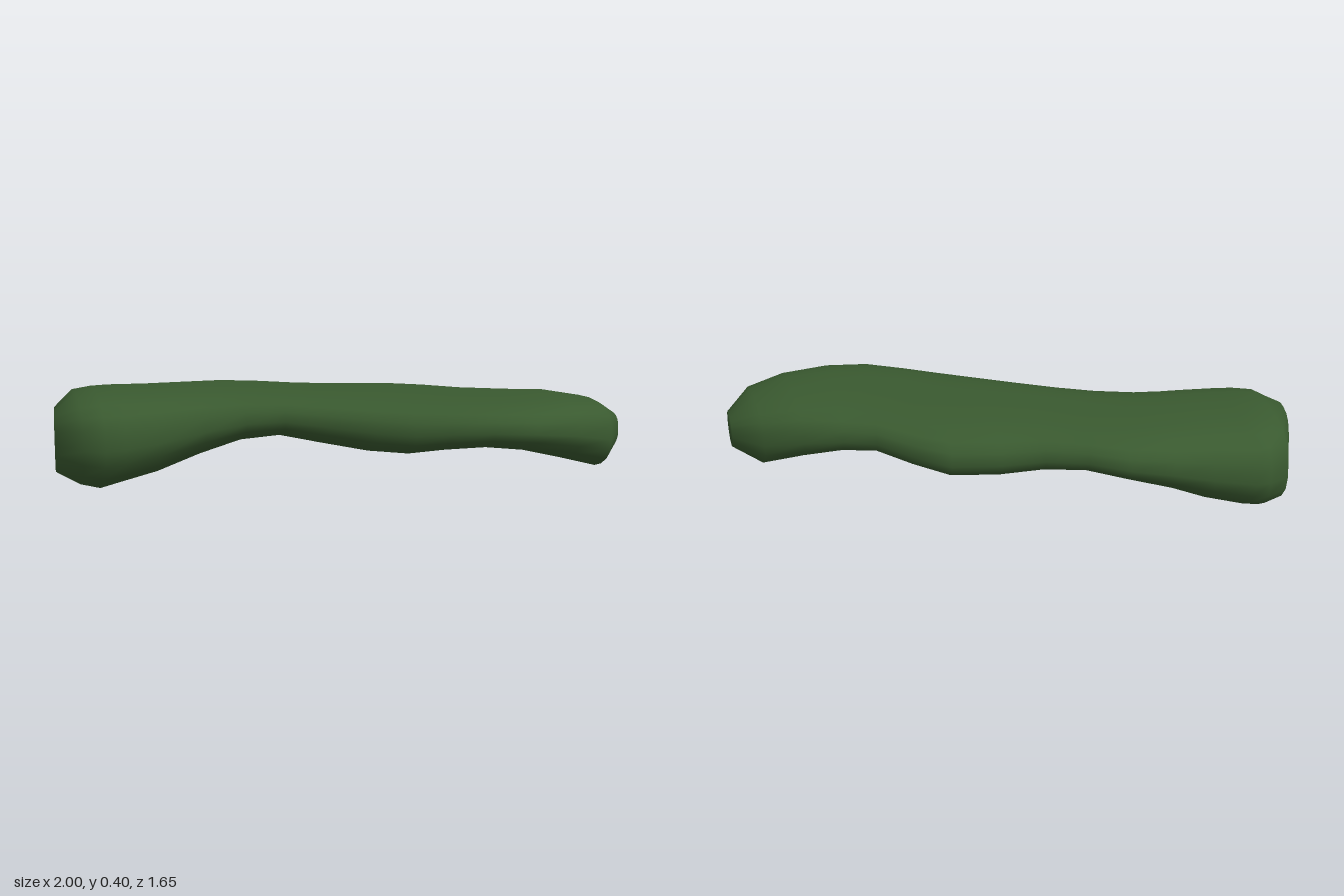
import * as THREE from 'three';

// Cross-sections along the bush: back edge x,z, front edge x,z, lowest y, highest y
const SECTIONS = [
  [-0.90, -0.65, -1.00, -0.44, 0.08, 0.34],
  [-0.75, -0.83, -0.94, -0.30, 0.02, 0.39],
  [-0.67, -0.825, -0.87, -0.25, 0.00, 0.40],
  [-0.60, -0.82, -0.80, -0.21, 0.02, 0.40],
  [-0.46, -0.74, -0.67, -0.16, 0.06, 0.40],
  [-0.32, -0.68, -0.50, -0.10, 0.13, 0.40],
  [-0.16, -0.60, -0.36, -0.02, 0.19, 0.40],
  [-0.04, -0.48, -0.24, 0.08, 0.215, 0.40],
  [0.08, -0.36, -0.12, 0.22, 0.19, 0.40],
  [0.23, -0.28, 0.00, 0.37, 0.165, 0.40],
  [0.40, -0.18, 0.10, 0.49, 0.16, 0.40],
  [0.50, -0.05, 0.20, 0.59, 0.185, 0.40],
  [0.58, 0.10, 0.32, 0.70, 0.205, 0.40],
  [0.68, 0.20, 0.47, 0.78, 0.19, 0.40],
  [0.80, 0.31, 0.66, 0.82, 0.145, 0.40],
  [0.92, 0.43, 0.83, 0.81, 0.10, 0.375],
  [1.00, 0.57, 0.96, 0.71, 0.17, 0.31],
];
const SIDES = 20;

// Rounded ring: flatter above, rounder below
function ring([ax, az, bx, bz, low, high]) {
  const cx = (ax + bx) / 2, cz = (az + bz) / 2, cy = (low + high) / 2;
  const points = [];
  for (let j = 0; j < SIDES; j++) {
    const t = (j / SIDES) * Math.PI * 2;
    const c = Math.cos(t), s = Math.sin(t);
    const power = s > 0 ? 2 / 2.7 : 2 / 2.1;
    const u = Math.sign(c) * Math.abs(c) ** power;
    const v = Math.sign(s) * Math.abs(s) ** power;
    points.push(cx + (ax - cx) * u, cy + ((high - low) / 2) * v, cz + (az - cz) * u);
  }
  return points;
}

function loft(sections) {
  const positions = sections.flatMap(ring);
  const index = [];
  const rows = sections.length;
  for (let i = 0; i < rows - 1; i++) {
    for (let j = 0; j < SIDES; j++) {
      const k = (j + 1) % SIDES;
      const a = i * SIDES + j, b = i * SIDES + k;
      index.push(a, b, a + SIDES, b, b + SIDES, a + SIDES);
    }
  }
  // End caps
  const start = rows * SIDES, end = start + 1, last = (rows - 1) * SIDES;
  for (const [ax, az, bx, bz, low, high] of [sections[0], sections[rows - 1]]) {
    positions.push((ax + bx) / 2, (low + high) / 2, (az + bz) / 2);
  }
  for (let j = 0; j < SIDES; j++) {
    const k = (j + 1) % SIDES;
    index.push(start, k, j, end, last + j, last + k);
  }
  const geometry = new THREE.BufferGeometry();
  geometry.setAttribute('position', new THREE.Float32BufferAttribute(positions, 3));
  geometry.setIndex(index);
  geometry.computeVertexNormals();
  return geometry;
}

export function createModel() {
  const group = new THREE.Group();
  group.name = 'bush';
  const leafGreen = new THREE.MeshStandardMaterial({ color: 0x3a5a30 });
  leafGreen.name = 'leaf green';

  // Winding foliage body
  const foliage = new THREE.Mesh(loft(SECTIONS), leafGreen);
  foliage.name = 'foliage';
  group.add(foliage);
  return group;
}
